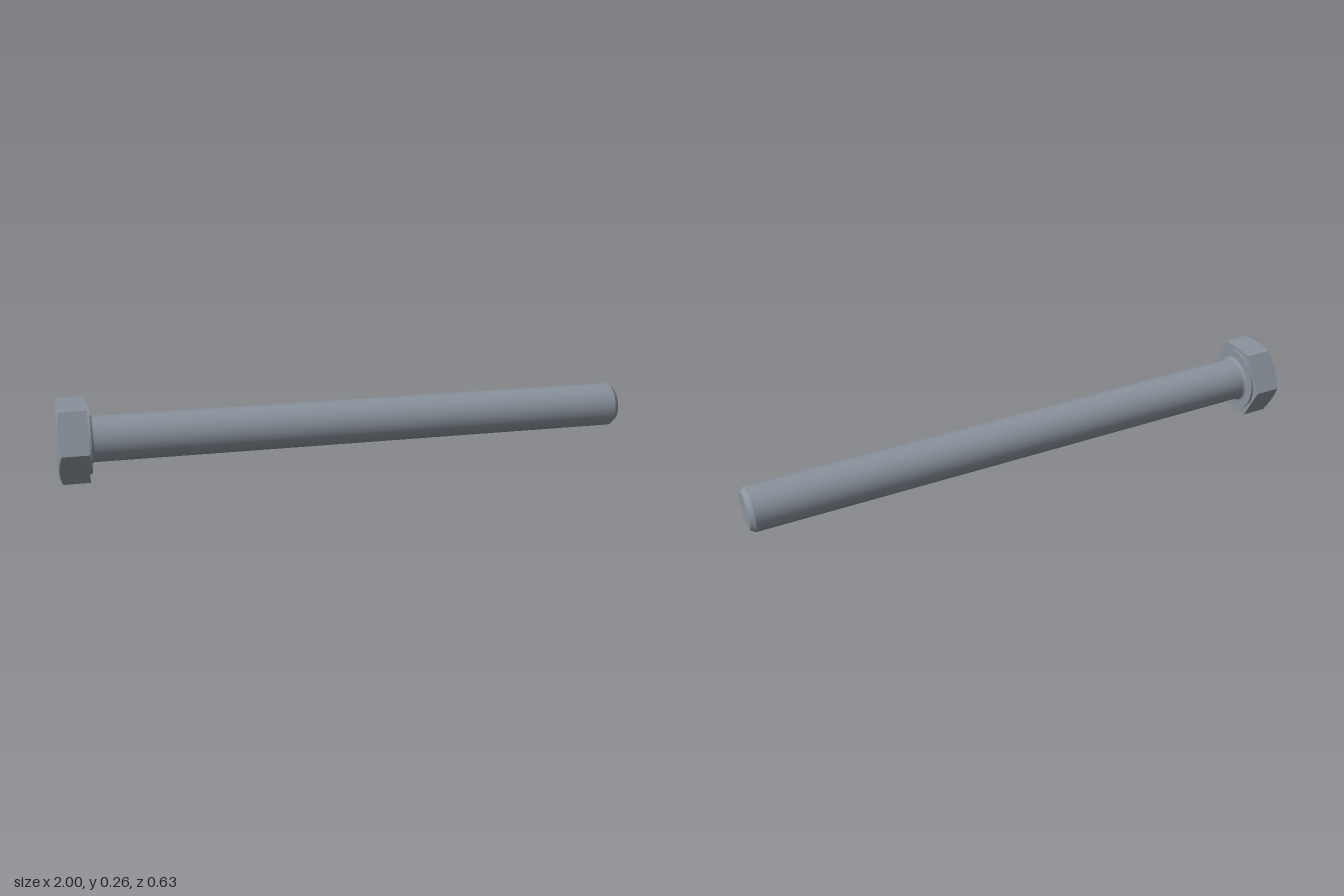
import * as THREE from 'three';

const APOTHEM = 0.1265, CAP_R = 0.117, HEAD_H = 0.102, SHANK_R = 0.0775, LENGTH = 1.905;
const PER_SIDE = 8, RIM = PER_SIDE * 6;

// Point on the hexagon outline, corners on local x, stepped evenly by angle
function hexPoint(i) {
  const a = (i / RIM) * Math.PI * 2;
  const local = (((i % PER_SIDE) + PER_SIDE) % PER_SIDE) / PER_SIDE * Math.PI / 3 - Math.PI / 6;
  const r = APOTHEM / Math.cos(local);
  return { a, r, x: Math.cos(a) * r, z: Math.sin(a) * r };
}

// Height of the conical chamfer where it meets the hexagon outline
const chamferY = (r) => -HEAD_H + Math.max(0, r - CAP_R) * 0.45;

function fromTriangles(positions, index) {
  const g = new THREE.BufferGeometry();
  g.setAttribute('position', new THREE.Float32BufferAttribute(positions, 3));
  g.setIndex(index);
  return g;
}

// Smooth outer cap: centre, circle, chamfered hexagon rim
function capGeometry() {
  const pos = [0, -HEAD_H, 0], idx = [];
  for (let i = 0; i < RIM; i++) {
    const p = hexPoint(i);
    pos.push(Math.cos(p.a) * CAP_R, -HEAD_H, Math.sin(p.a) * CAP_R, p.x, chamferY(p.r), p.z);
  }
  for (let i = 0; i < RIM; i++) {
    const a = 1 + i * 2, b = 1 + ((i + 1) % RIM) * 2;
    idx.push(0, a, b, a, a + 1, b, b, a + 1, b + 1);
  }
  const g = fromTriangles(pos, idx);
  g.computeVertexNormals();
  return g;
}

// Six flat sides and the flat underside, with hard edges
function hexBodyGeometry() {
  const pos = [0, 0, 0], idx = [];
  for (let i = 0; i < RIM; i++) {
    const p = hexPoint(i);
    pos.push(p.x, chamferY(p.r), p.z, p.x, 0, p.z);
  }
  for (let i = 0; i < RIM; i++) {
    const a = 1 + i * 2, b = 1 + ((i + 1) % RIM) * 2;
    idx.push(a, a + 1, b, b, a + 1, b + 1);
    idx.push(0, b + 1, a + 1);
  }
  const g = fromTriangles(pos, idx).toNonIndexed();
  g.computeVertexNormals();
  return g;
}

const lathe = (points) =>
  new THREE.LatheGeometry(points.map(([r, y]) => new THREE.Vector2(r, y)), 64);

export function createModel() {
  const steel = new THREE.MeshStandardMaterial({ color: 0x8a929c });
  steel.name = 'steel';
  const model = new THREE.Group();
  model.name = 'hexBolt';
  const add = (name, geometry, parent) => {
    const mesh = new THREE.Mesh(geometry, steel);
    mesh.name = name;
    parent.add(mesh);
  };

  // Head
  const head = new THREE.Group();
  head.name = 'head';
  add('headCap', capGeometry(), head);
  add('hexBody', hexBodyGeometry(), head);
  add('washerRim', lathe([[0.116, 0], [0.116, 0.008]]), head);
  add('washerFace', lathe([[0.116, 0.008], [SHANK_R, 0.008]]), head);

  // Shank with a small fillet under the head and a chamfered tip
  const shank = new THREE.Group();
  shank.name = 'shank';
  const fillet = [];
  for (let i = 0; i <= 6; i++) {
    const a = (i / 6) * Math.PI / 2;
    fillet.push([SHANK_R + 0.011 * (1 - Math.sin(a)), 0.008 + 0.011 * (1 - Math.cos(a))]);
  }
  add('fillet', lathe(fillet), shank);
  add('shaft', lathe([[SHANK_R, 0.019], [SHANK_R, LENGTH - 0.017]]), shank);
  add('tipChamfer', lathe([[SHANK_R, LENGTH - 0.017], [0.065, LENGTH]]), shank);
  add('tipFace', lathe([[0.065, LENGTH], [0, LENGTH]]), shank);

  // Lay the bolt down, resting on the head and the tip
  const bolt = new THREE.Group();
  bolt.name = 'bolt';
  bolt.add(head, shank);
  const axis = new THREE.Vector3(0.978, -0.0252, 0.209).normalize();
  const side = new THREE.Vector3().crossVectors(axis, new THREE.Vector3(0, 1, 0)).normalize();
  const third = new THREE.Vector3().crossVectors(side, axis);
  bolt.quaternion.setFromRotationMatrix(new THREE.Matrix4().makeBasis(side, axis, third));
  bolt.position.set(-0.877, 0.127, -0.157);
  model.add(bolt);
  return model;
}
